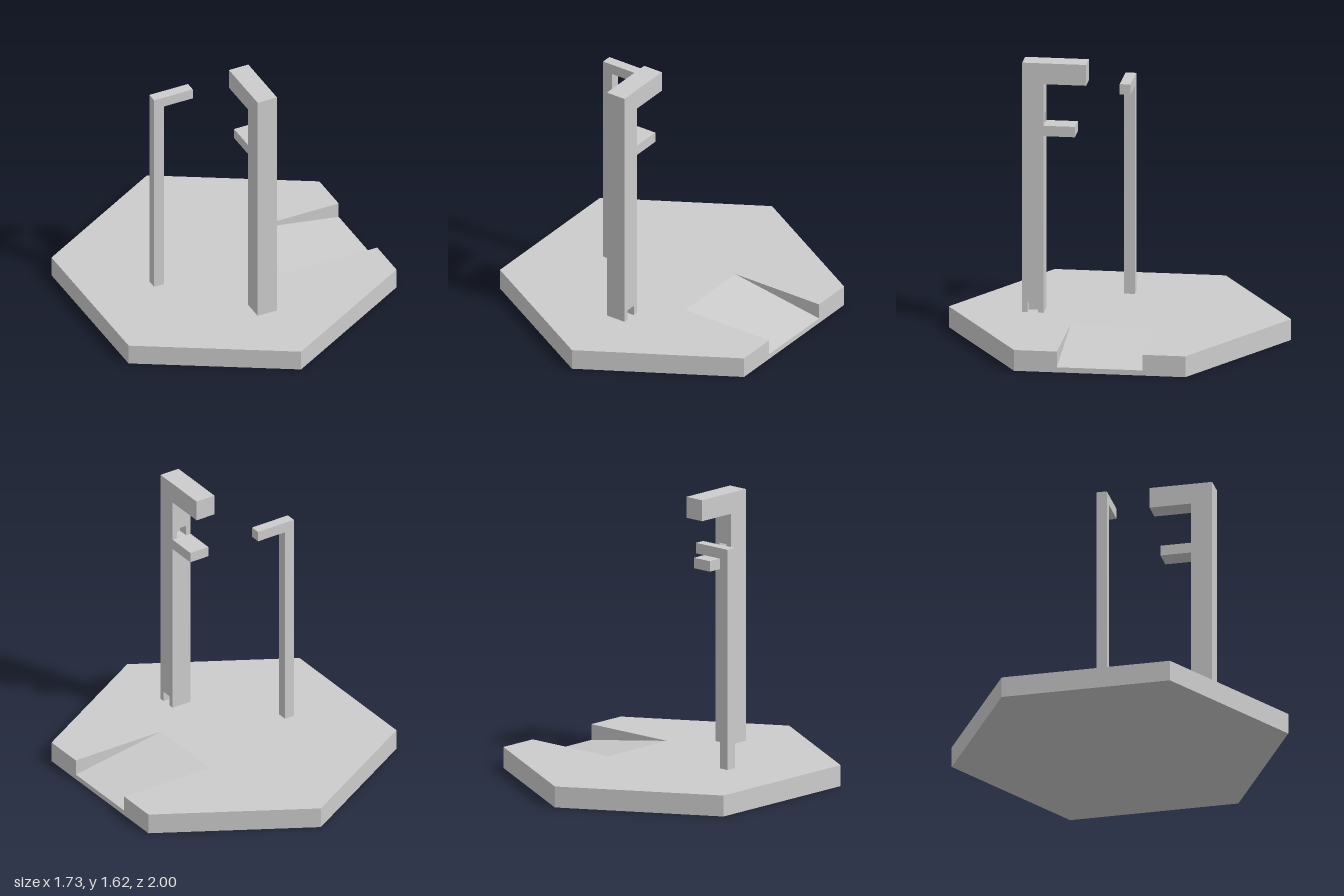
import * as THREE from 'three';

const mat = new THREE.MeshStandardMaterial({ color: 0xcccccc, flatShading: true });

// Extrude a closed outline of [x, y] points by a depth
function extrude(points, depth) {
  const shape = new THREE.Shape(points.map(([x, y]) => new THREE.Vector2(x, y)));
  return new THREE.ExtrudeGeometry(shape, { depth, bevelEnabled: false });
}

function addPart(parent, name, geometry) {
  const mesh = new THREE.Mesh(geometry, mat);
  mesh.name = name;
  parent.add(mesh);
  return mesh;
}

const H = 0.125; // base thickness
const R = Math.sqrt(3) / 2; // half width of the hexagon

// Hexagonal base: a middle strip with a sloping channel, and two pointed ends
function createBase() {
  const base = new THREE.Group();
  base.name = 'hexagonalBase';
  const strip = extrude([[-R, 0], [R, 0], [R, 0.031], [0.27, H], [-R, H]], 0.5);
  addPart(base, 'rampStrip', strip.translate(0, 0, -0.25));
  for (const [name, turn] of [['frontEnd', 0], ['backEnd', Math.PI]]) {
    const end = extrude([[-R, -0.25], [-R, -0.5], [0, -1], [R, -0.5], [R, -0.25]], H);
    addPart(base, name, end.rotateX(-Math.PI / 2).rotateY(turn));
  }
  return base;
}

// Column with two arms, in slices across x so the two small pockets stay open
function createColumn() {
  const column = new THREE.Group();
  column.name = 'armedColumn';
  const F = -0.5625, B = -0.4375; // front and back faces, measured along -z
  const q = 0.03125;
  for (let i = 0; i < 4; i++) {
    const foot = i >= 2 ? [[-0.531, H], [-0.531, 0.1875], [-0.469, 0.1875], [-0.469, H]] : [];
    const pocket = i === 1 || i === 2 ? [[-0.5, 1.25], [-0.5, 1.3125], [B, 1.3125]] : [[B, 1.25]];
    const outline = [
      [F, H], ...foot, [B, H],
      [B, 1.1875], [-0.255, 1.1875], [-0.255, 1.25], // lower arm
      ...pocket,
      [B, 1.5], [-0.19, 1.5], [-0.19, 1.625], [F, 1.625], // upper arm
    ];
    const slice = extrude(outline, q).rotateY(Math.PI / 2);
    addPart(column, 'columnSlice', slice.translate((i - 2) * q, 0, 0));
  }
  return column;
}

export function createModel() {
  const model = new THREE.Group();
  model.name = 'model';
  model.add(createBase(), createColumn());

  // Thin post with a single arm
  const post = extrude([
    [-0.467, H], [-0.405, H], [-0.405, 1.375], [-0.217, 1.375], [-0.217, 1.4375], [-0.467, 1.4375],
  ], 0.0625);
  addPart(model, 'thinPost', post.translate(0, 0, -0.03125));
  return model;
}
